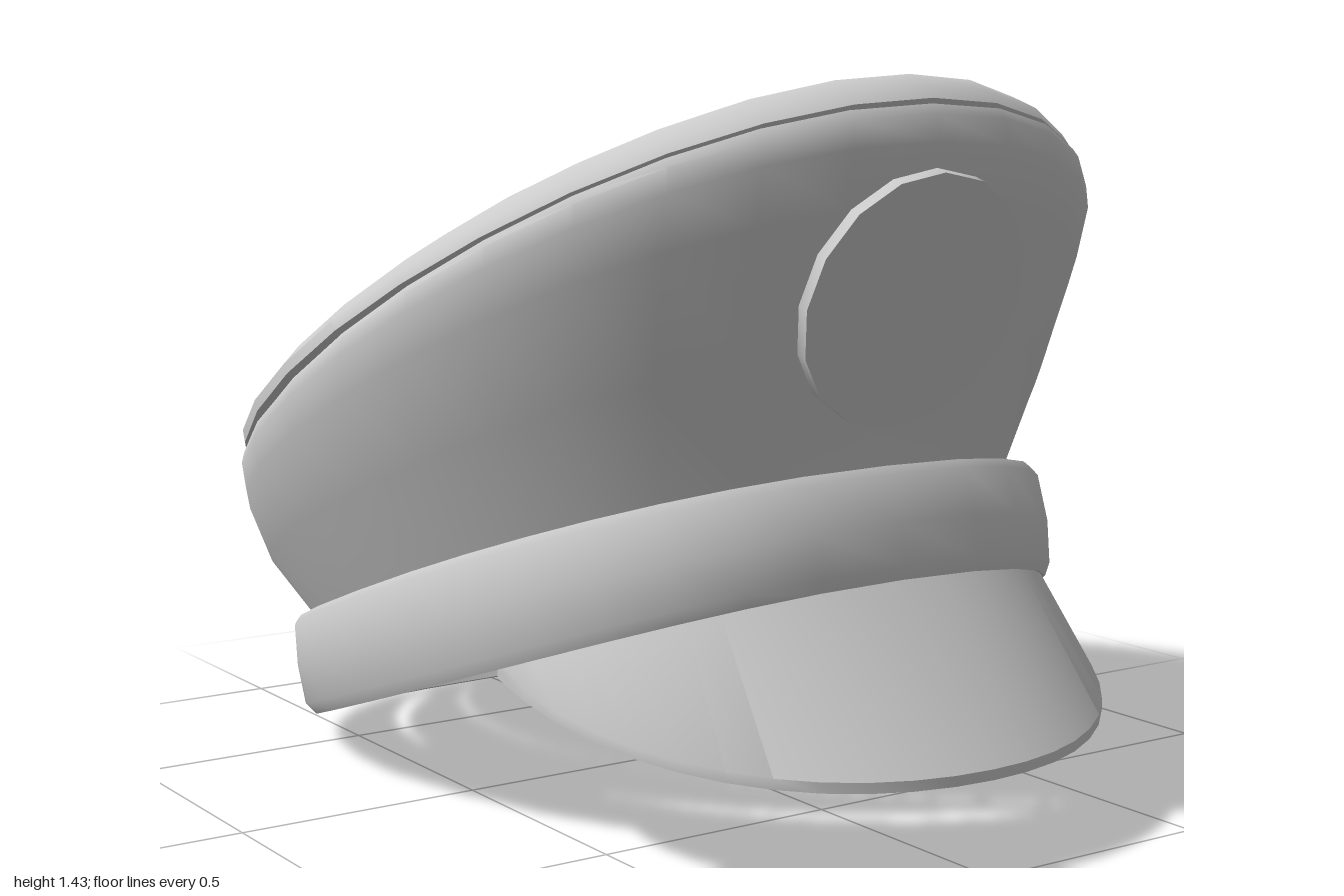
import * as THREE from 'three';
import { toCreasedNormals } from 'three/addons/utils/BufferGeometryUtils.js';

const SEGMENTS = 32;
const BAND_SQUARENESS = 0.82;

// Skin between rows of points; rows run from the lower outside upward.
function loft(rows, crease) {
  const n = rows[0].length;
  const index = [];
  for (let i = 0; i < rows.length - 1; i++) {
    for (let j = 0; j < n - 1; j++) {
      const a = i * n + j, b = a + 1, c = a + n, d = c + 1;
      index.push(a, b, c, b, d, c);
    }
  }
  const geometry = new THREE.BufferGeometry().setFromPoints(rows.flat());
  geometry.setIndex(index);
  return toCreasedNormals(geometry, crease);
}

// Point on a tilted oval given by its front, its back, its half width and a sag at the sides.
// A power below 1 makes the oval fuller at its corners.
function ovalPoint([zf, yf, zb, yb, w, sag], angle, power) {
  const bend = (v) => Math.sign(v) * Math.abs(v) ** power;
  const c = bend(Math.cos(angle)), s = bend(Math.sin(angle));
  return new THREE.Vector3(
    w * s,
    (yf + yb) / 2 + ((yf - yb) / 2) * c - sag * s * s,
    (zf + zb) / 2 + ((zf - zb) / 2) * c
  );
}

function ovals(specs, power) {
  return specs.map((spec) => Array.from({ length: SEGMENTS + 1 },
    (_, j) => ovalPoint(spec, (j / SEGMENTS) * Math.PI * 2, power)));
}

export function createModel() {
  const group = new THREE.Group();
  const material = new THREE.MeshStandardMaterial({ color: 0xcccccc, side: THREE.DoubleSide });
  const add = (name, geometry) => {
    const mesh = new THREE.Mesh(geometry, material);
    mesh.name = name;
    group.add(mesh);
    return mesh;
  };

  // Each oval: front z, front y, back z, back y, half width, sag

  // Flared crown wall up to the seam
  add('crownWall', loft(ovals([
    [0.65, 0.66, -0.83, 0.135, 0.68, 0.03],
    [0.66, 0.71, -0.85, 0.175, 0.70, 0.02],
    [0.72, 0.95, -0.925, 0.27, 0.79, 0.03],
    [0.795, 1.2, -0.965, 0.35, 0.84, 0.03],
    [0.822, 1.31, -0.975, 0.385, 0.85, 0.03],
    [0.818, 1.36, -0.972, 0.4, 0.845, 0.035],
    [0.805, 1.378, -0.966, 0.408, 0.836, 0.04],
  ], 0.96), 0.7));

  // Padded top, slightly domed, thinning toward the sides
  add('crownTop', loft(ovals([
    [0.8, 1.375, -0.964, 0.405, 0.83, 0.035],
    [0.808, 1.388, -0.985, 0.415, 0.845, 0.04],
    [0.79, 1.41, -1.0, 0.45, 0.842, 0.05],
    [0.74, 1.43, -0.975, 0.51, 0.805, 0.06],
    [0.6, 1.4, -0.85, 0.62, 0.68, 0.03],
    [0.3, 1.285, -0.5, 0.86, 0.4, 0.005],
    [-0.1, 1.085, -0.1, 1.085, 0, 0],
  ], 1), 0.7));

  // Thin, rounded head band with an inner wall
  add('band', loft(ovals([
    [0.732, 0.503, -0.777, 0.008, 0.693, 0.04],
    [0.742, 0.503, -0.787, 0.003, 0.702, 0.04],
    [0.748, 0.53, -0.82, 0.02, 0.715, 0.04],
    [0.735, 0.61, -0.845, 0.09, 0.722, 0.03],
    [0.705, 0.695, -0.86, 0.165, 0.718, 0.02],
    [0.69, 0.71, -0.852, 0.176, 0.708, 0.02],
    [0.68, 0.7, -0.842, 0.168, 0.7, 0.02],
    [0.72, 0.61, -0.83, 0.09, 0.707, 0.03],
    [0.732, 0.503, -0.777, 0.008, 0.693, 0.04],
  ], BAND_SQUARENESS), 0.9));

  // Crescent visor sloping down from the lower edge of the band
  const visorRow = (outer, drop) => Array.from({ length: 25 }, (_, j) => {
    const a = (j / 24 - 0.5) * Math.PI;
    const c = Math.cos(a);
    const p = outer
      ? new THREE.Vector3(0.635 * Math.sin(a), 0.203 + 0.14 * (1 - c) ** 1.5, 0.34 + 0.66 * c)
      : ovalPoint([0.725, 0.515, -0.77, 0.01, 0.69, 0.04], a * 0.717, BAND_SQUARENESS);
    p.y -= drop;
    return p;
  });
  add('visor', loft([
    visorRow(false, 0.02), visorRow(true, 0.02), visorRow(true, 0),
    visorRow(false, 0), visorRow(false, 0.02),
  ], 0.6));

  // Blank round badge leaning on the front of the crown
  const badge = add('badge', toCreasedNormals(new THREE.CylinderGeometry(0.25, 0.25, 0.025, 16), 0.6));
  badge.position.set(0, 1.022, 0.758);
  badge.rotation.x = 1.875;

  return group;
}
